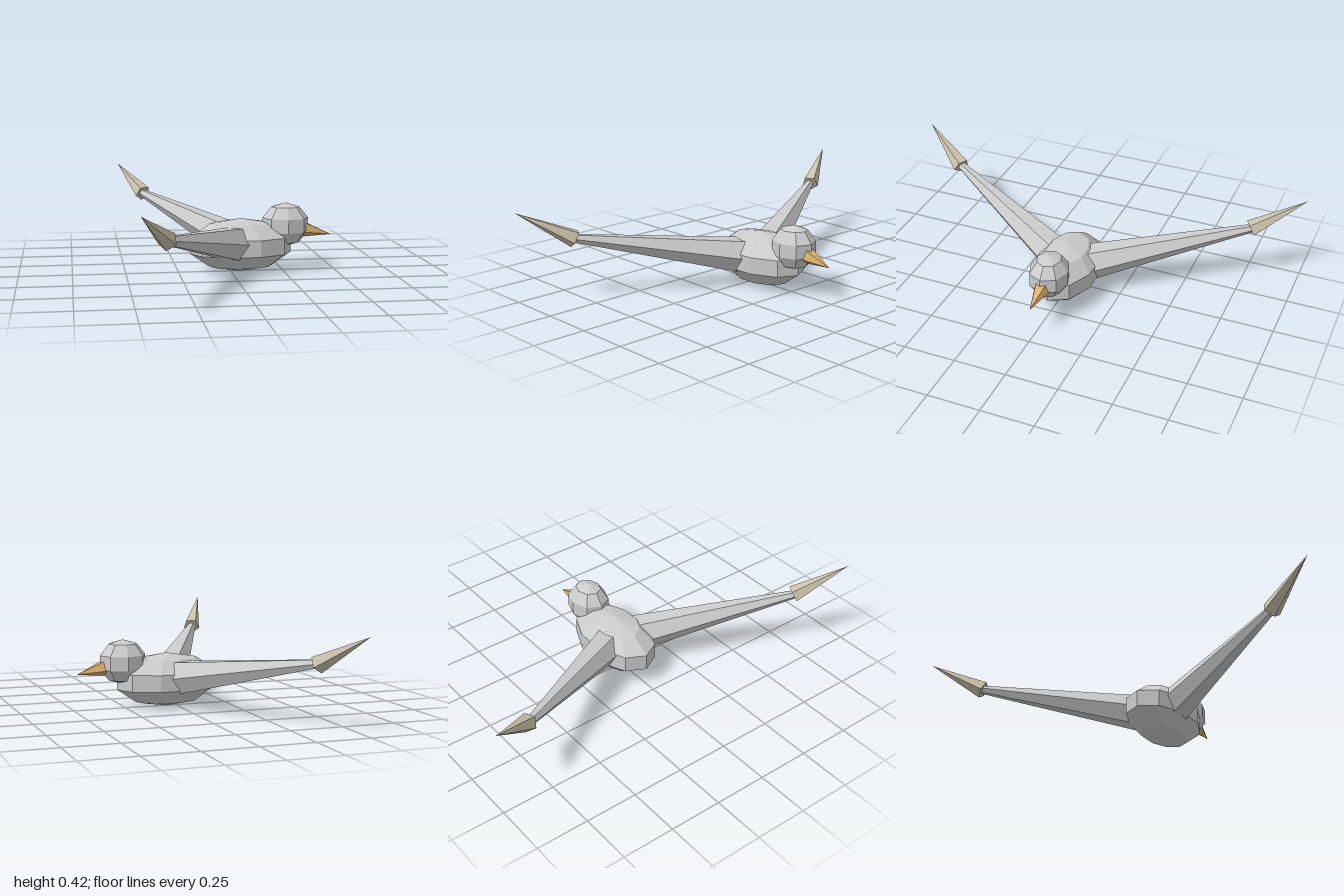
import * as THREE from 'three';

const material = (color) => new THREE.MeshStandardMaterial({ color, flatShading: true });
const grey = material(0xcccccc);
const beakTan = material(0xdcb06c);
const tipTan = material(0xccc2ab);

// Faceted ellipsoid
function blob(name, center, radii, sides) {
  const mesh = new THREE.Mesh(new THREE.SphereGeometry(1, sides, 5), grey);
  mesh.name = name;
  mesh.position.set(...center);
  mesh.scale.set(...radii);
  return mesh;
}

// Tapered prism between two points; its first corner points down, turned by twist
function taper(name, from, to, r0, r1, sides, mat, twist = 0) {
  const a = new THREE.Vector3(...from);
  const b = new THREE.Vector3(...to);
  const axis = b.clone().sub(a);
  const geometry = new THREE.CylinderGeometry(r1, r0, axis.length(), sides, 1, false, twist);
  axis.normalize();
  const down = new THREE.Vector3(0, -1, 0).projectOnPlane(axis).normalize();
  const side = axis.clone().cross(down);
  const mesh = new THREE.Mesh(geometry, mat);
  mesh.name = name;
  mesh.quaternion.setFromRotationMatrix(new THREE.Matrix4().makeBasis(side, axis, down));
  mesh.position.copy(a).add(b).multiplyScalar(0.5);
  return mesh;
}

export function createModel() {
  const bird = new THREE.Group();
  bird.name = 'bird';

  // Body, head and beak
  bird.add(blob('body', [0.048, 0.129, 0], [0.255, 0.127, 0.158], 10));
  bird.add(blob('head', [0.263, 0.222, 0], [0.116, 0.105, 0.097], 8));
  bird.add(taper('beak', [0.3, 0.21, 0], [0.485, 0.17, 0], 0.055, 0, 5, beakTan));

  // Swept, raised wings with pointed tips, mirrored across z
  for (const [label, s] of [['front', 1], ['back', -1]]) {
    const wing = new THREE.Group();
    wing.name = label + 'Wing';
    wing.add(taper('wingArm', [0.048, 0.128, 0], [-0.37, 0.287, 0.775 * s], 0.095, 0.02, 6, grey, Math.PI / 6));
    wing.add(taper('wingTip', [-0.365, 0.285, 0.77 * s], [-0.488, 0.422, 1.0 * s], 0.043, 0, 5, tipTan));
    bird.add(wing);
  }
  return bird;
}
